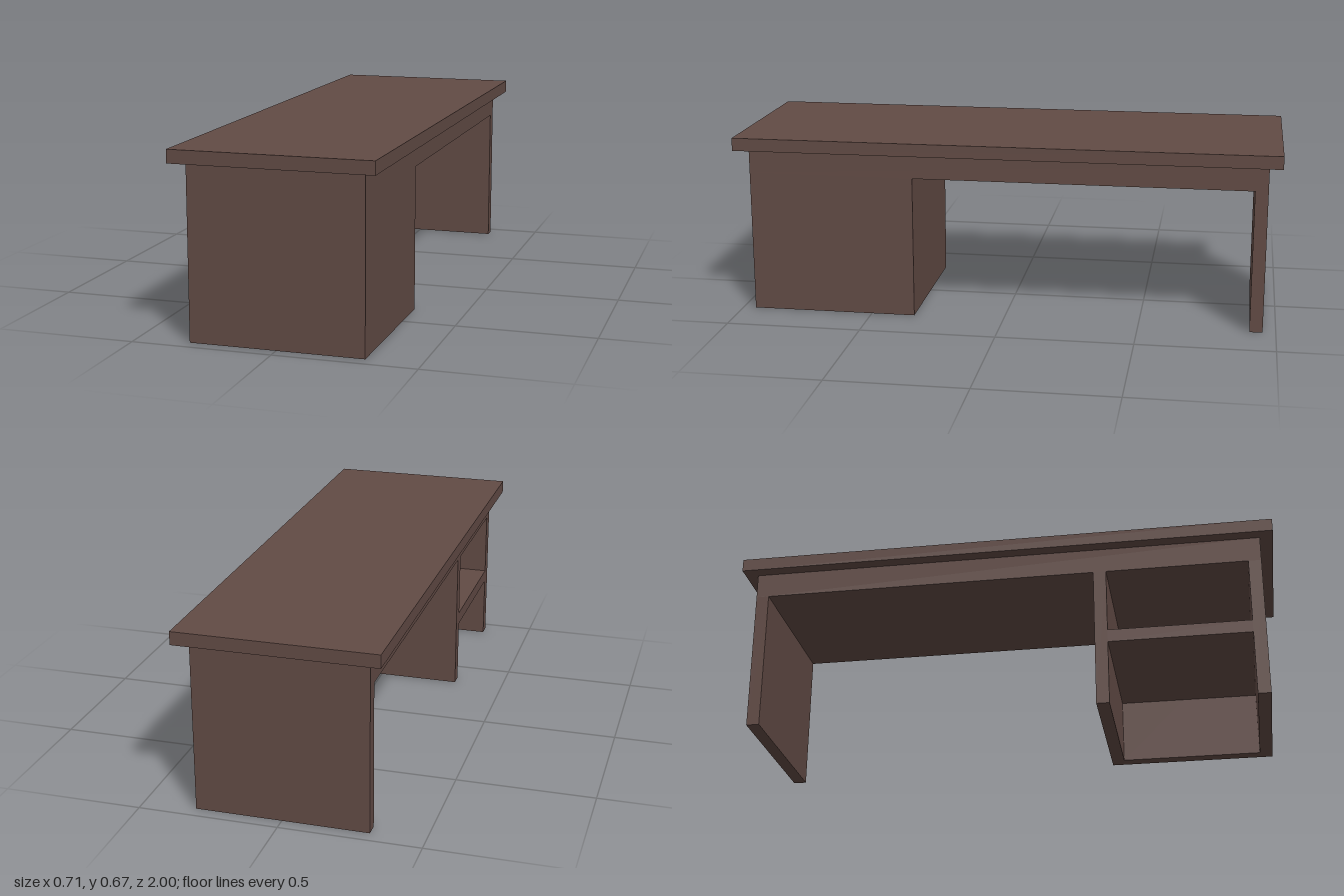
import * as THREE from 'three';

export function createModel() {
  const desk = new THREE.Group();
  desk.name = 'desk';
  const wood = new THREE.MeshStandardMaterial({ color: 0x624b45 });
  wood.name = 'darkBrownWood';

  // Box given by its limits on each axis
  function board(name, [x0, x1], [y0, y1], [z0, z1]) {
    const mesh = new THREE.Mesh(new THREE.BoxGeometry(x1 - x0, y1 - y0, z1 - z0), wood);
    mesh.name = name;
    mesh.position.set((x0 + x1) / 2, (y0 + y1) / 2, (z0 + z1) / 2);
    desk.add(mesh);
  }

  const t = 0.0475;            // board thickness
  const w = 0.309;             // half width of the base
  const end = 1 - t;           // half length of the base
  const frameY = 0.527, topY = 0.62;
  const inner = 0.337;         // knee-space side of the cabinet
  const full = [-w, w];

  // Overhanging top and the deep frame beneath it
  board('tabletop', [-w - t, w + t], [topY, topY + t], [-1, 1]);
  board('topFrame', full, [frameY, topY], [-end, end]);

  // Upright panels: far leg and the two cabinet sides
  board('legPanel', full, [0, frameY], [-end, -end + t]);
  board('cabinetInnerSide', full, [0, frameY], [inner, inner + t]);
  board('cabinetOuterSide', full, [0, frameY], [end - t, end]);

  // Cabinet is closed on +x and open on -x, with one shelf halfway up
  board('cabinetBack', [w - t, w], [0, frameY], [inner + t, end - t]);
  board('shelf', [-w, w - t], [frameY / 2 - t / 2, frameY / 2 + t / 2], [inner + t, end - t]);

  return desk;
}
